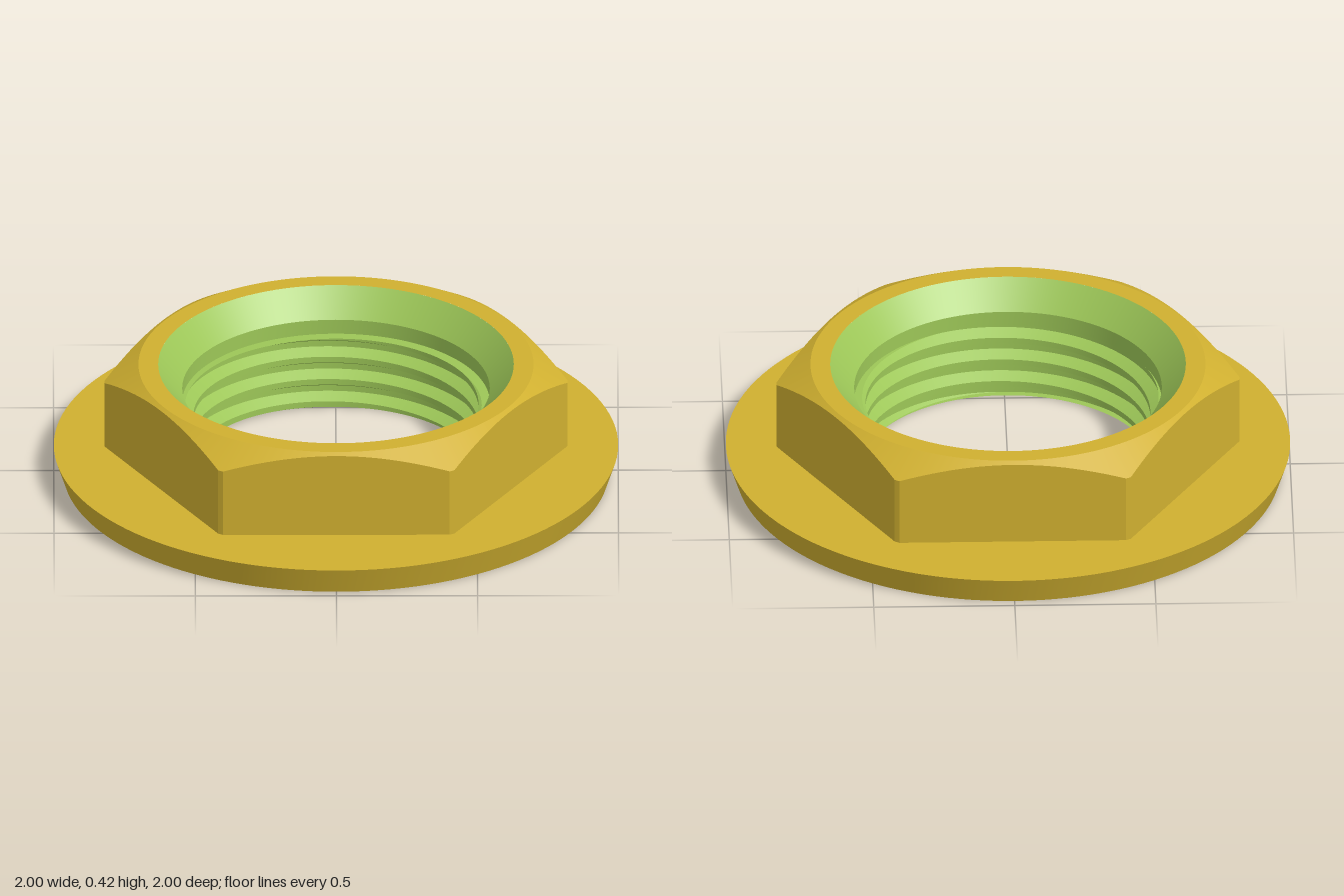
import * as THREE from 'three';
import { toCreasedNormals } from 'three/addons/utils/BufferGeometryUtils.js';

const TAU = Math.PI * 2;

// Sweeps a profile around y; profileAt(angle) returns [radius, y] points and may vary with the angle.
function sweep(angles, profileAt) {
  const columns = angles.map((t) =>
    profileAt(t).map(([r, y]) => [r * Math.sin(t), y, r * Math.cos(t)]));
  const positions = [];
  for (let j = 0; j < columns.length - 1; j++) {
    const left = columns[j], right = columns[j + 1];
    for (let i = 0; i < left.length - 1; i++) {
      positions.push(...left[i], ...right[i], ...right[i + 1]);
      positions.push(...left[i], ...right[i + 1], ...left[i + 1]);
    }
  }
  const geometry = new THREE.BufferGeometry();
  geometry.setAttribute('position', new THREE.Float32BufferAttribute(positions, 3));
  return toCreasedNormals(geometry, 0.4);
}

const ring = (count) => Array.from({ length: count + 1 }, (_, i) => (i / count) * TAU);

export function createModel() {
  const brass = new THREE.MeshStandardMaterial({ color: 0xd0b030 });
  brass.name = 'yellow metal';
  const green = new THREE.MeshStandardMaterial({ color: 0x9cc657 });
  green.name = 'green bore';

  const group = new THREE.Group();
  group.name = 'flangeNut';
  const add = (name, geometry, material) => {
    const mesh = new THREE.Mesh(geometry, material);
    mesh.name = name;
    group.add(mesh);
  };

  // Flange with a slightly undercut rim
  add('flange', sweep(ring(128), () => [[0.52, 0], [0.967, 0], [1, 0.1], [0.65, 0.1]]), brass);

  // Hexagonal body: flats at 0.715, corners trimmed to 0.82, top cut by a 30 degree cone
  const flat = 0.715, corner = 0.82, top = 0.42, chamferStart = 0.7;
  const trim = Math.acos(flat / corner);
  const hexAngles = [];
  for (let side = 0; side < 6; side++) {
    const middle = side * TAU / 6;
    for (let i = 0; i <= 24; i++) hexAngles.push(middle + trim * (i / 12 - 1));
    hexAngles.push(middle + TAU / 12);
  }
  hexAngles.push(hexAngles[0] + TAU);
  add('hexBody', sweep(hexAngles, (t) => {
    const offset = t - Math.round(t / (TAU / 6)) * (TAU / 6);
    const r = Math.min(flat / Math.cos(offset), corner);
    const edge = top - (r - chamferStart) * 0.58;
    return [[r, 0.1], [r, edge], [chamferStart, top], [0.63, top]];
  }), brass);

  // Countersunk mouth and short plain collar
  add('countersink', sweep(ring(128), () => [[0.63, top], [0.545, 0.325], [0.545, 0.27]]), green);

  // Helical thread, trimmed at the collar and the underside
  const pitch = 0.088, major = 0.545, minor = 0.505, threadTop = 0.27;
  const threadRadius = (phase) => {
    const f = phase - Math.floor(phase);
    if (f < 0.25) return major;
    if (f < 0.5) return major + (minor - major) * (f - 0.25) * 4;
    if (f < 0.75) return minor;
    return minor + (major - minor) * (f - 0.75) * 4;
  };
  add('thread', sweep(ring(128), (t) => {
    const turn = t / TAU;
    const points = [[major, threadTop]];
    for (let knot = 16; knot >= -4; knot--) {
      const y = THREE.MathUtils.clamp((knot / 4 + turn) * pitch, 0, threadTop);
      points.push([threadRadius(y / pitch - turn), y]);
    }
    points.push([0.52, 0]);
    return points;
  }), green);

  return group;
}
